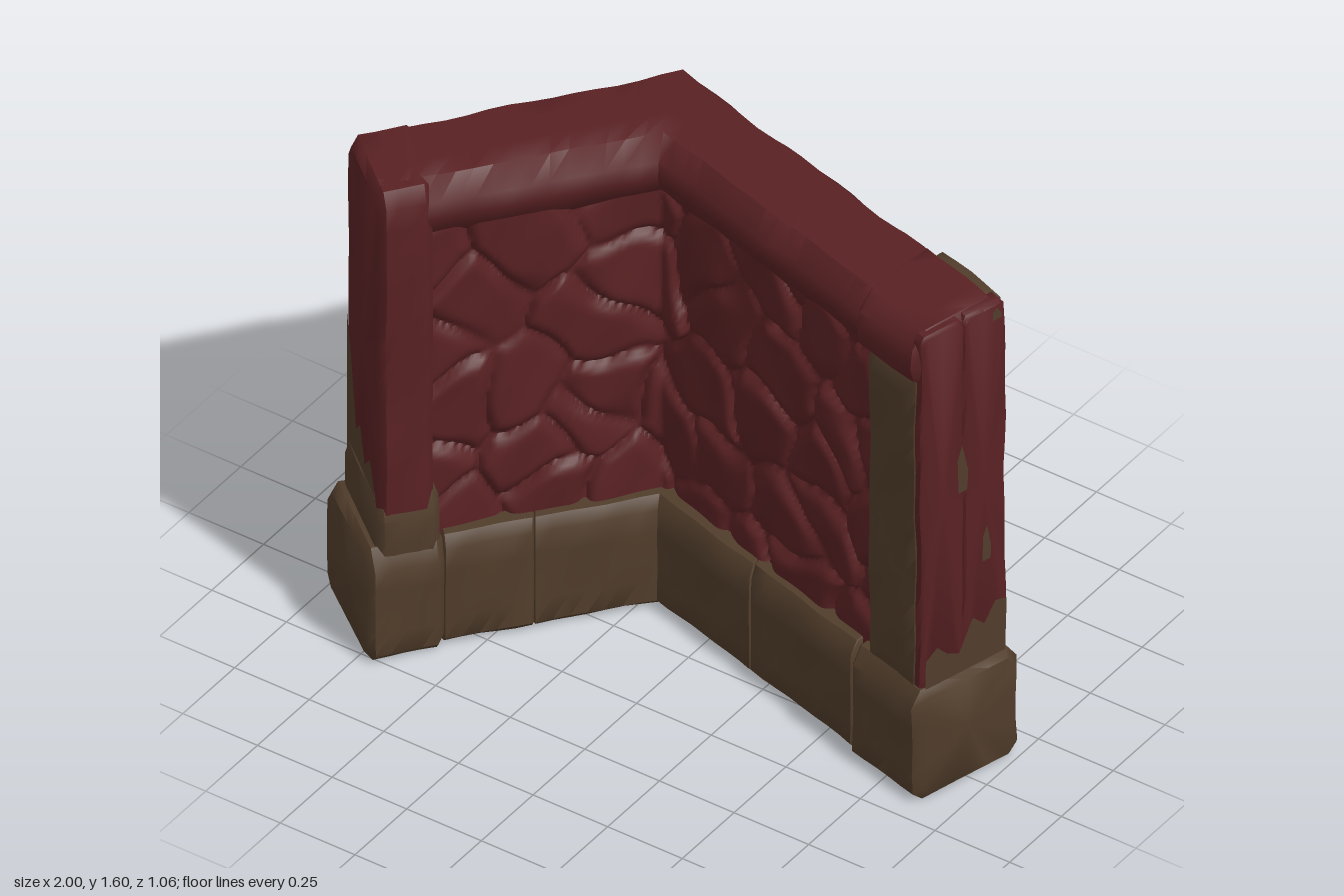
import * as THREE from 'three';
import { toCreasedNormals } from 'three/addons/utils/BufferGeometryUtils.js';

// Wall path: left end, corner, right end (x, z). s = signed distance from the corner.
const C = new THREE.Vector2(-0.283, -0.331);
const LEFT_LEN = 0.942, RIGHT_LEN = 1.272;
const L = new THREE.Vector2(-0.857, 0.414), R = new THREE.Vector2(0.949, 0.01);
const nL = new THREE.Vector2(0.79, 0.61), nR = new THREE.Vector2(-0.264, 0.965);
const miter = new THREE.Vector2(0.5, 1.13);

// Rough hewn surface wobble
const wobble = (s, t, y) =>
  0.003 * Math.sin(s * 13 + y * 9 + t * 5) + 0.0025 * Math.sin(y * 21 - s * 27 + t * 11);

// Maps path distance s, sideways offset t (front positive) and height y to space
function place(s, t, y) {
  const end = s < 0 ? L : R, n = s < 0 ? nL : nR;
  const k = s < 0 ? -s / LEFT_LEN : s / RIGHT_LEN;
  const w = wobble(s, t, y);
  const tt = t + Math.sign(t) * w;
  const yy = y < 0.03 ? y : y + w * 0.35;
  return [
    (C.x + miter.x * tt) * (1 - k) + (end.x + n.x * tt) * k,
    yy,
    (C.y + miter.y * tt) * (1 - k) + (end.y + n.y * tt) * k,
  ];
}

function stations(s0, s1, step) {
  const cuts = s0 < 0 && s1 > 0 ? [s0, 0, s1] : [s0, s1];
  const out = [s0];
  for (let i = 1; i < cuts.length; i++) {
    const n = Math.max(1, Math.ceil((cuts[i] - cuts[i - 1]) / step));
    for (let j = 1; j <= n; j++) out.push(cuts[i - 1] + ((cuts[i] - cuts[i - 1]) * j) / n);
  }
  return out;
}

function build(pos, index, crease) {
  const g = new THREE.BufferGeometry();
  g.setAttribute('position', new THREE.Float32BufferAttribute(pos, 3));
  g.setIndex(index);
  return toCreasedNormals(g, crease);
}

// Sweeps a closed (t, y) profile along the path, with bevelled ends
function sweep(profile, s0, s1, bevel = 0.02) {
  const pts = [];
  profile.forEach((a, i) => {
    const b = profile[(i + 1) % profile.length];
    const n = Math.max(1, Math.round(Math.hypot(b[0] - a[0], b[1] - a[1]) / 0.08));
    for (let j = 0; j < n; j++) pts.push([a[0] + ((b[0] - a[0]) * j) / n, a[1] + ((b[1] - a[1]) * j) / n]);
  });
  const ts = profile.map(p => p[0]), ys = profile.map(p => p[1]);
  const ct = (Math.min(...ts) + Math.max(...ts)) / 2, cy = (Math.min(...ys) + Math.max(...ys)) / 2;
  const kt = 1 - (2 * bevel) / (Math.max(...ts) - Math.min(...ts));
  const ky = 1 - (2 * bevel) / (Math.max(...ys) - Math.min(...ys));
  const rings = [s0, ...stations(s0 + bevel, s1 - bevel, 0.06), s1];
  const pos = [], idx = [], n = pts.length, last = rings.length - 1;
  rings.forEach((s, i) => {
    const end = i === 0 || i === last;
    for (const [t, y] of pts)
      pos.push(...place(s, end ? ct + (t - ct) * kt : t, end ? cy + (y - cy) * ky : y));
  });
  for (let i = 0; i < last; i++)
    for (let j = 0; j < n; j++) {
      const a = i * n + j, b = i * n + ((j + 1) % n), c = b + n, d = a + n;
      idx.push(a, d, c, a, c, b);
    }
  const c0 = pos.length / 3;
  pos.push(...place(s0, ct, cy), ...place(s1, ct, cy));
  for (let j = 0; j < n; j++) {
    const k = (j + 1) % n;
    idx.push(c0, j, k, c0 + 1, last * n + k, last * n + j);
  }
  return build(pos, idx, 0.8);
}

// Rectangle profile with chamfered corners; the top chamfer may be larger
const slab = (t0, t1, y0, y1, c = 0.02, top = c) => [
  [t0 + c, y0], [t1 - c, y0], [t1, y0 + c], [t1, y1 - top],
  [t1 - top * 0.7, y1], [t0 + top * 0.7, y1], [t0, y1 - top], [t0, y0 + c],
];

// Field of large irregular stones separated by soft grooves; returns height above the core
function stoneField(seed) {
  let state = seed;
  const rnd = () => (state = (state * 16807) % 2147483647) / 2147483647;
  const seeds = [];
  for (let row = 0; row < 6; row++)
    for (let col = 0; col < 9; col++)
      seeds.push({
        s: -1 + (col + 0.5 * (row % 2) + 0.85 * rnd()) * 0.26, y: 0.2 + (row + 0.9 * rnd()) * 0.25,
        a: (rnd() - 0.5) * 0.12, b: (rnd() - 0.5) * 0.12, h: 0.022 + rnd() * 0.012,
      });
  return (s, y) => {
    let d1 = 9, d2 = 9, best;
    const ws = s + 0.015 * Math.sin(y * 19), wy = y + 0.015 * Math.sin(s * 23);
    for (const p of seeds) {
      const d = Math.hypot(ws - p.s, wy - p.y);
      if (d < d1) { d2 = d1; d1 = d; best = p; } else if (d < d2) d2 = d;
    }
    const e = 1 - Math.min(1, (d2 - d1) / 0.1);
    return (1 - e * e * e) * (best.h + best.a * (s - best.s) + best.b * (y - best.y));
  };
}

function stonePanel(side, base, s0, s1, y0, y1, seed) {
  const field = stoneField(seed), ss = stations(s0, s1, 0.012), rows = 88;
  const pos = [], idx = [], n = rows + 1;
  for (const s of ss)
    for (let j = 0; j <= rows; j++) {
      const y = y0 + ((y1 - y0) * j) / rows;
      pos.push(...place(s, side * (base + field(s, y)), y));
    }
  for (let i = 0; i < ss.length - 1; i++)
    for (let j = 0; j < rows; j++) {
      const a = i * n + j, b = a + n, c = b + 1, d = a + 1;
      if (side > 0) idx.push(a, b, c, a, c, d);
      else idx.push(a, c, b, a, d, c);
    }
  return build(pos, idx, 1.2);
}

// Thin worn patch with a jagged top, lying on an end face at s
function wornPatch(s, t0, t1, y0, tops) {
  const shape = new THREE.Shape();
  shape.moveTo(t0, y0);
  tops.forEach((y, i) => shape.lineTo(t0 + ((t1 - t0) * i) / (tops.length - 1), y));
  shape.lineTo(t1, y0);
  const g = new THREE.ShapeGeometry(shape), p = g.attributes.position;
  for (let i = 0; i < p.count; i++) p.setXYZ(i, ...place(s, p.getX(i), p.getY(i)));
  g.computeVertexNormals();
  return g;
}

export function createModel() {
  const red = new THREE.MeshStandardMaterial({ color: 0x592123, side: THREE.DoubleSide });
  red.name = 'dark red paint';
  const brown = new THREE.MeshStandardMaterial({ color: 0x513d2b, side: THREE.DoubleSide });
  brown.name = 'brown stone';
  const group = new THREE.Group();
  const add = (name, geometry, material) => {
    const mesh = new THREE.Mesh(geometry, material);
    mesh.name = name;
    group.add(mesh);
  };

  // Base course of separate blocks
  const blocks = [
    [-0.942, -0.69, 0.2, 0.022, 0.06], [-0.69, -0.4, 0.178, 0.005, 0.035], [-0.4, 0.45, 0.178, 0.005, 0.035],
    [0.45, 0.94, 0.176, 0.005, 0.035], [0.94, 1.272, 0.19, 0.022, 0.05],
  ];
  for (const [s0, s1, t, bevel, top] of blocks)
    add('baseBlock', sweep(slab(-t, t, 0, 0.378, 0.032, top), s0, s1, bevel), brown);

  // Wall core showing in the deepest joints, with stone facing on both sides
  add('wallCore', sweep(slab(-0.11, 0.1, 0.3, 1.5), -0.8, 1.1), brown);
  add('frontStones', stonePanel(1, 0.1, -0.76, 1.03, 0.35, 1.46, 4711), red);
  add('backStones', stonePanel(-1, 0.11, -0.86, 1.03, 0.35, 1.52, 9137), red);

  // Rounded coping along the top, sloping down towards the front
  add('coping', sweep([
    [-0.11, 1.44], [0.1, 1.38], [0.145, 1.44], [0.165, 1.49], [0.158, 1.54], [0.105, 1.595],
    [-0.12, 1.595], [-0.15, 1.56], [-0.158, 1.51],
  ], -0.895, 1.2), red);

  // Left pier: painted shaft over a worn foot
  add('leftPier', sweep(slab(-0.16, 0.168, 0.35, 1.595, 0.03, 0.045), -0.898, -0.72, 0.024), red);
  add('leftPierFoot', sweep([
    [-0.165, 0.3], [0.176, 0.3], [0.176, 0.47], [0.14, 0.56], [-0.13, 0.57], [-0.165, 0.5],
  ], -0.906, -0.7, 0.025), brown);
  add('leftPierWear', wornPatch(-0.902, -0.135, 0.13, 0.5, [0.98, 0.85, 0.64, 0.68, 0.58, 0.63, 0.56]), brown);
  add('leftPierBackEdge', sweep(slab(-0.169, -0.13, 0.45, 1.38, 0.01), -0.889, -0.825, 0.01), brown);

  // Right pier: bare stone shaft, painted end and top
  add('rightPier', sweep(slab(-0.15, 0.155, 0.33, 1.46, 0.02), 0.99, 1.227, 0.012), brown);
  add('rightPierBack', sweep(slab(-0.17, -0.12, 0.33, 1.58, 0.015), 0.985, 1.224, 0.01), brown);
  for (const [t0, t1] of [[-0.155, 0], [0, 0.152]])
    add('rightPierEnd', sweep(slab(t0, t1, 0.36, 1.595, 0.02), 1.2, 1.25, 0.009), red);
  add('rightPierTop', sweep([
    [-0.12, 1.45], [0.11, 1.41], [0.165, 1.44], [0.175, 1.49], [0.165, 1.55], [0.115, 1.598],
    [-0.12, 1.598], [-0.145, 1.565],
  ], 0.95, 1.238, 0.02), red);

  // Worn foot and streaks on the right end
  add('rightPierWear', wornPatch(1.254, -0.145, 0.14, 0.36, [0.55, 0.56, 0.5, 0.54, 0.44, 0.46, 0.5, 0.47]), brown);
  for (const [t, y, h] of [[0.008, 1.0, 0.16], [-0.08, 0.72, 0.12], [-0.12, 1.54, 0.04]])
    add('rightPierStreak', wornPatch(1.254, t - 0.015, t + 0.015, y, [y + h * 0.4, y + h, y + h * 0.7]), brown);

  return group;
}
